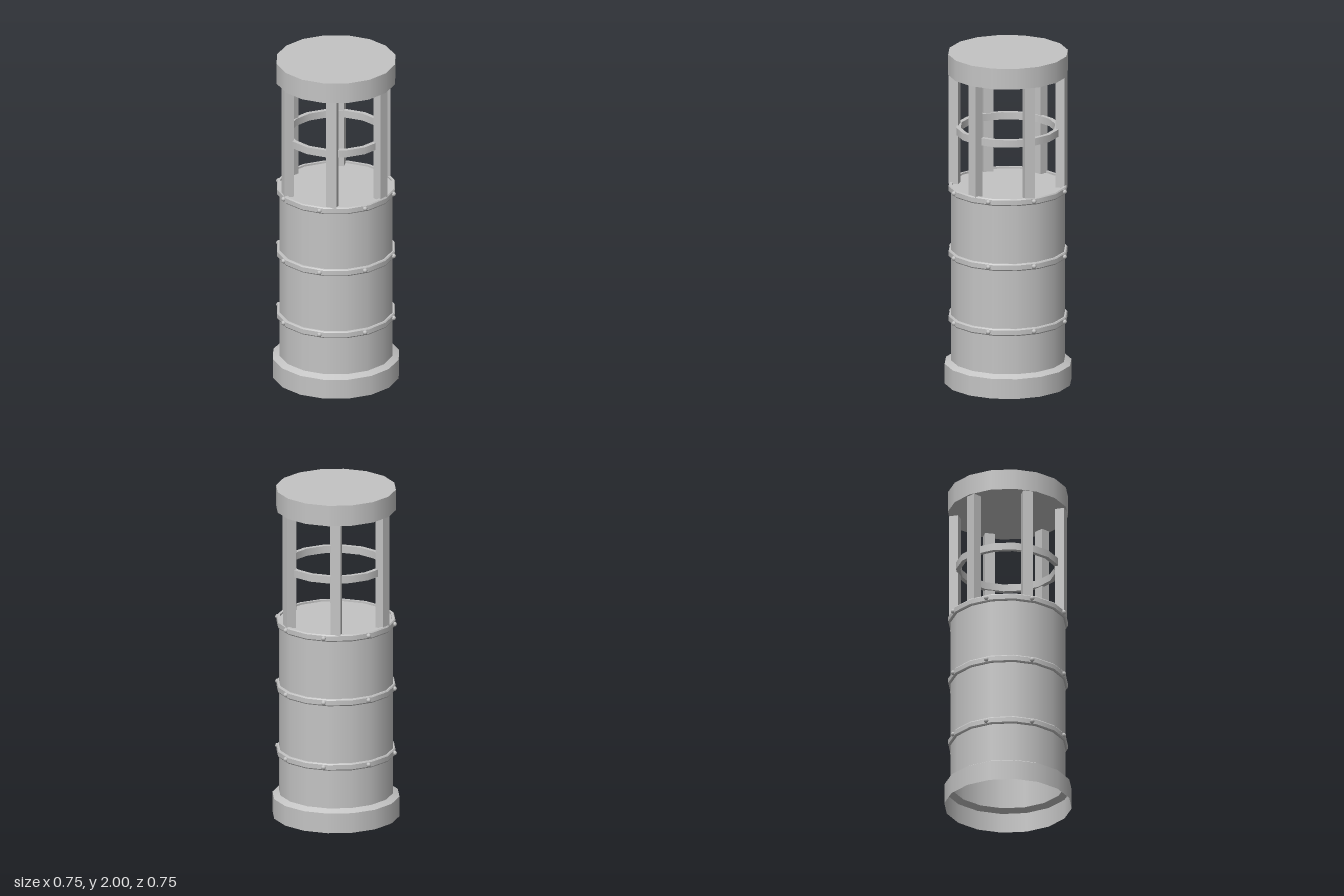
import * as THREE from 'three';
import { mergeGeometries } from 'three/addons/utils/BufferGeometryUtils.js';

const SIDES = 16;

// Turns a profile around y, keeping each profile corner sharp.
function turned(points) {
  const strips = [];
  for (let i = 0; i < points.length - 1; i++) {
    const pair = [points[i], points[i + 1]].map(([r, y]) => new THREE.Vector2(r, y));
    strips.push(new THREE.LatheGeometry(pair, SIDES));
  }
  return mergeGeometries(strips);
}

export function createModel() {
  const model = new THREE.Group();
  const grey = new THREE.MeshStandardMaterial({ color: 0xc4c4c4, side: THREE.DoubleSide });
  grey.name = 'light grey';

  function add(name, geometry, parent = model) {
    const mesh = new THREE.Mesh(geometry, grey);
    mesh.name = name;
    parent.add(mesh);
    return mesh;
  }

  // Open-bottomed plinth with a sloped shoulder
  add('base', turned([[0.373, 0], [0.373, 0.12], [0.336, 0.14]]));

  // Hollow drum closed by a floor under the cage
  add('body', turned([[0.336, 0.14], [0.336, 1.195], [0, 1.195]]));

  // Bevelled bands, each with eight bolts
  const boltShape = new THREE.SphereGeometry(0.014, 8, 6);
  for (const y of [0.395, 0.79, 1.185]) {
    const bandGroup = new THREE.Group();
    bandGroup.name = 'boltedBand';
    bandGroup.position.y = y;
    model.add(bandGroup);
    add('band', turned([
      [0.33, -0.021], [0.345, -0.021], [0.35, -0.014],
      [0.35, 0.014], [0.345, 0.021], [0.33, 0.021], [0.33, -0.021],
    ]), bandGroup);
    for (let i = 0; i < 8; i++) {
      const a = THREE.MathUtils.degToRad(27 + i * 45);
      const bolt = add('bolt', boltShape, bandGroup);
      bolt.position.set(0.349 * Math.cos(a), 0, 0.349 * Math.sin(a));
    }
  }

  // Six cage posts, each twisted slightly about its own axis
  const postShape = new THREE.BoxGeometry(0.056, 0.685, 0.06);
  const twist = THREE.MathUtils.degToRad(8);
  for (let i = 0; i < 6; i++) {
    const a = i * Math.PI / 3;
    const post = add('cagePost', postShape);
    post.position.set(0.313 * Math.cos(a), 1.5375, 0.313 * Math.sin(a));
    post.rotation.y = -(a + twist);
  }

  // Hoop running through the posts
  add('cageHoop', turned([
    [0.278, 1.508], [0.304, 1.508], [0.304, 1.552], [0.278, 1.552], [0.278, 1.508],
  ]));

  // Solid cap
  add('cap', turned([[0, 1.875], [0.352, 1.875], [0.352, 2], [0, 2]]));

  return model;
}
